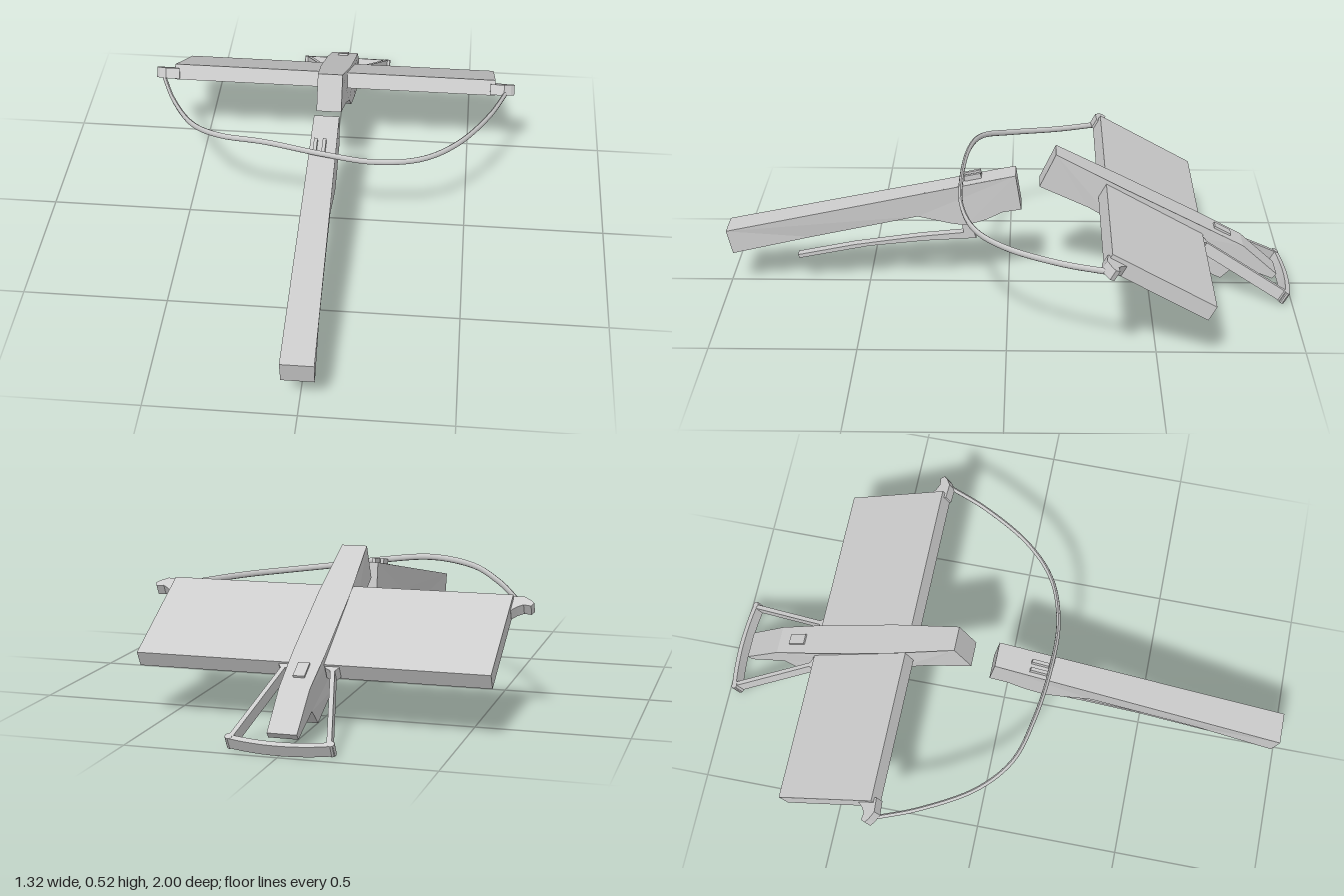
import * as THREE from 'three';

const material = new THREE.MeshStandardMaterial({ color: 0xcccccc, flatShading: true });
const smooth = new THREE.MeshStandardMaterial({ color: 0xcccccc });

function add(parent, name, geometry, mat = material) {
  const mesh = new THREE.Mesh(geometry, mat);
  mesh.name = name;
  parent.add(mesh);
  return mesh;
}

const toShape = (pts) => new THREE.Shape(pts.map(([a, b]) => new THREE.Vector2(a, b)));

// Piecewise-linear lookup through [z, value] stops in rising z
function lerpStops(stops, z) {
  for (let i = 1; i < stops.length; i++) {
    const [z0, a] = stops[i - 1], [z1, b] = stops[i];
    if (z <= z1) return a + (b - a) * Math.max(0, (z - z0) / (z1 - z0));
  }
  return stops[stops.length - 1][1];
}

// Side profile in (z, y), extruded across x, half-width varying along z
function profileBody(pts, halfWidths) {
  const g = new THREE.ExtrudeGeometry(toShape(pts), { depth: 2, bevelEnabled: false });
  g.translate(0, 0, -1).rotateY(-Math.PI / 2);
  const p = g.attributes.position;
  for (let i = 0; i < p.count; i++) p.setX(i, p.getX(i) * lerpStops(halfWidths, p.getZ(i)));
  g.computeVertexNormals();
  return g;
}

// Plan outline in (x, z), extruded upward and centred on y = 0
function planBody(pts, height) {
  const g = new THREE.ExtrudeGeometry(toShape(pts.map(([x, z]) => [x, -z])), { depth: height, bevelEnabled: false });
  return g.translate(0, 0, -height / 2).rotateX(-Math.PI / 2);
}

export function createModel() {
  const model = new THREE.Group();
  model.name = 'brokenCrossbow';

  // Butt half of the broken stock
  add(model, 'rearStock', profileBody([
    [1, 0.22], [0.7, 0.284], [0.35, 0.358], [0.05, 0.422], [-0.025, 0.437], [-0.045, 0.308],
    [0.02, 0.298], [0.08, 0.268], [0.15, 0.246], [0.2, 0.252], [0.32, 0.278], [0.7, 0.195], [0.98, 0.134],
  ], [[-0.05, 0.044], [0.1, 0.046], [0.35, 0.043], [0.7, 0.044], [1, 0.055]]));

  // Long trigger lever under the stock
  add(model, 'trigger', profileBody([
    [0.755, 0.11], [0.55, 0.152], [0.32, 0.186], [0.16, 0.203], [0.17, 0.26], [0.125, 0.26],
    [0.135, 0.235], [0.115, 0.182], [0.3, 0.17], [0.5, 0.147], [0.75, 0.097],
  ], [[0, 0.016], [1, 0.016]]));

  // Nut prongs that hold the string
  for (const x of [-0.026, 0.004]) {
    const prong = add(model, 'nutProng', new THREE.BoxGeometry(0.012, 0.03, 0.06));
    prong.position.set(x, 0.41, 0.125);
    prong.rotation.x = 0.21;
  }

  // Fore half of the broken stock, ending in a slim tongue
  add(model, 'foreStock', profileBody([
    [-0.108, 0.397], [-0.165, 0.518], [-0.4, 0.397], [-0.68, 0.254], [-0.83, 0.175], [-0.955, 0.063],
    [-0.94, 0.045], [-0.81, 0.1], [-0.755, 0.048], [-0.6, 0.122], [-0.45, 0.195], [-0.37, 0.268], [-0.28, 0.32],
  ], [[-0.96, 0.048], [-0.83, 0.05], [-0.68, 0.055], [-0.4, 0.055], [-0.2, 0.044], [-0.1, 0.044]]));

  // Small plate let into the top of the stock
  const plate = add(model, 'stockPlate', new THREE.BoxGeometry(0.038, 0.012, 0.065));
  plate.position.set(0, 0.215, -0.757);
  plate.rotation.x = -0.487;

  // Bow and stirrup share one tilted plane
  const bow = new THREE.Group();
  bow.name = 'bowAssembly';
  bow.position.set(0, 0.385, -0.3275);
  bow.rotation.x = -0.503;
  model.add(bow);

  add(bow, 'bowSlab', new THREE.BoxGeometry(1.175, 0.056, 0.392)).position.z = -0.196;

  for (const s of [1, -1]) {
    const side = new THREE.Group();
    side.name = s > 0 ? 'leftSide' : 'rightSide';
    side.scale.x = s;
    bow.add(side);

    // Hooked nock at the bow tip
    add(side, 'bowTip', planBody([
      [0.57, 0.008], [0.62, 0.012], [0.645, -0.004], [0.658, -0.018], [0.65, -0.034],
      [0.625, -0.03], [0.605, -0.043], [0.588, -0.062], [0.57, -0.062],
    ], 0.038)).position.y = -0.006;

    // Flat stirrup arm with a small turned-out foot
    add(side, 'stirrupArm', planBody([
      [0.055, -0.385], [0.1, -0.385], [0.1, -0.395], [0.09, -0.41], [0.166, -0.735],
      [0.15, -0.735], [0.075, -0.41], [0.055, -0.4],
    ], 0.042));
  }

  // Curved foot bar of the stirrup
  const outer = [], inner = [];
  for (let i = 0; i <= 12; i++) {
    const t = i / 6 - 1, z = -0.752 + 0.018 * t * t;
    outer.push([t * 0.172, z - 0.006]);
    inner.unshift([t * 0.172, z + 0.012]);
  }
  add(bow, 'stirrupBar', planBody([...outer, ...inner], 0.042));
  for (const x of [-0.163, 0.163]) {
    add(bow, 'stirrupKnuckle', new THREE.CylinderGeometry(0.012, 0.012, 0.044, 10)).position.set(x, 0, -0.732);
  }

  // Slack string, flattened sideways so it is taller than it is thick
  const stretch = 1.5;
  const path = new THREE.CatmullRomCurve3([
    [-0.628, 0.355, -0.325], [-0.57, 0.36, -0.18], [-0.47, 0.387, 0], [-0.36, 0.42, 0.1], [-0.2, 0.436, 0.145],
    [0, 0.413, 0.165], [0.18, 0.385, 0.158], [0.34, 0.369, 0.105], [0.46, 0.365, 0], [0.57, 0.365, -0.18],
    [0.628, 0.368, -0.325],
  ].map(([x, y, z]) => new THREE.Vector3(x, y / stretch, z)));
  const string = new THREE.TubeGeometry(path, 72, 0.0075, 8).scale(1, stretch, 1);
  string.computeVertexNormals();
  add(model, 'string', string, smooth);

  return model;
}
